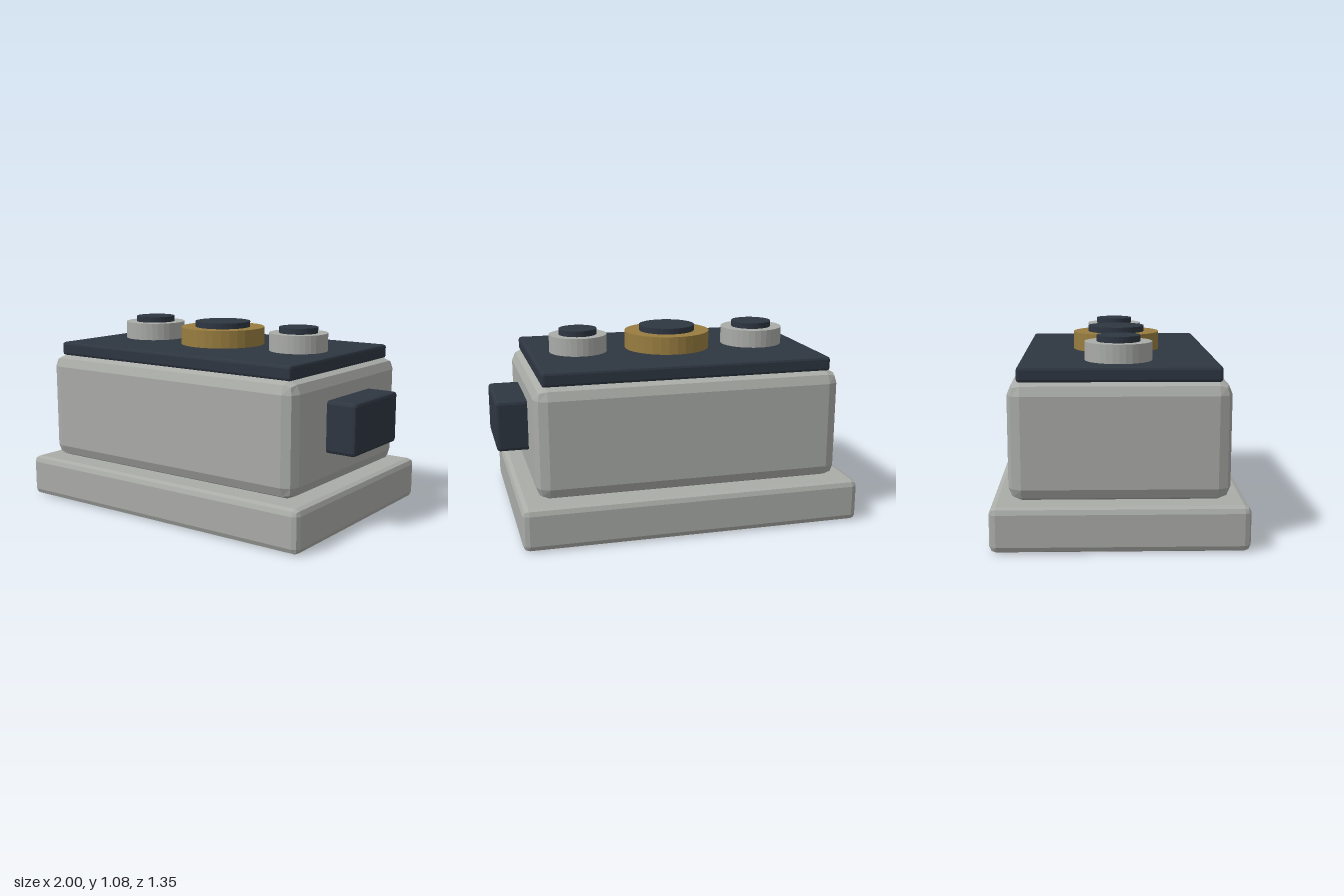
import * as THREE from 'three';
import { RoundedBoxGeometry } from 'three/addons/geometries/RoundedBoxGeometry.js';

const material = (name, color) => {
  const m = new THREE.MeshStandardMaterial({ color });
  m.name = name;
  return m;
};

export function createModel() {
  const group = new THREE.Group();
  const grey = material('warm grey', 0xaaaca8);
  const navy = material('dark slate', 0x2e3641);
  const brass = material('brass', 0x997d40);
  const centreX = -0.04;

  const add = (name, geometry, mat, x, y, z = 0) => {
    // Flat facets on bevels and dial sides
    const flat = geometry.index ? geometry.toNonIndexed() : geometry;
    flat.computeVertexNormals();
    const mesh = new THREE.Mesh(flat, mat);
    mesh.name = name;
    mesh.position.set(x, y, z);
    group.add(mesh);
  };

  // Bevelled box resting on height y0
  const box = (name, mat, x, y0, y1, w, d, bevel) =>
    add(name, new RoundedBoxGeometry(w, y1 - y0, d, 1, bevel), mat, x, (y0 + y1) / 2);

  // Upright disc between two heights
  const disc = (name, mat, x, y0, y1, r) =>
    add(name, new THREE.CylinderGeometry(r, r, y1 - y0, 32), mat, x, (y0 + y1) / 2);

  // Housing
  box('base', grey, centreX, 0, 0.241, 1.92, 1.345, 0.035);
  box('body', grey, centreX, 0.241, 0.868, 1.73, 1.16, 0.07);
  box('topPlate', navy, centreX, 0.862, 0.942, 1.636, 1.06, 0.015);
  box('sideBlock', navy, 0.885, 0.438, 0.725, 0.23, 0.48, 0.018);

  // Dials: position, ring radius, cap radius
  [
    ['right', grey, -0.567, 0.182, 0.118],
    ['centre', brass, centreX, 0.249, 0.163],
    ['left', grey, 0.492, 0.167, 0.11],
  ].forEach(([side, mat, x, ring, cap]) => {
    disc(side + 'Dial', mat, x, 0.935, 1.043, ring);
    disc(side + 'DialCap', navy, x, 1.03, 1.076, cap);
  });

  return group;
}
